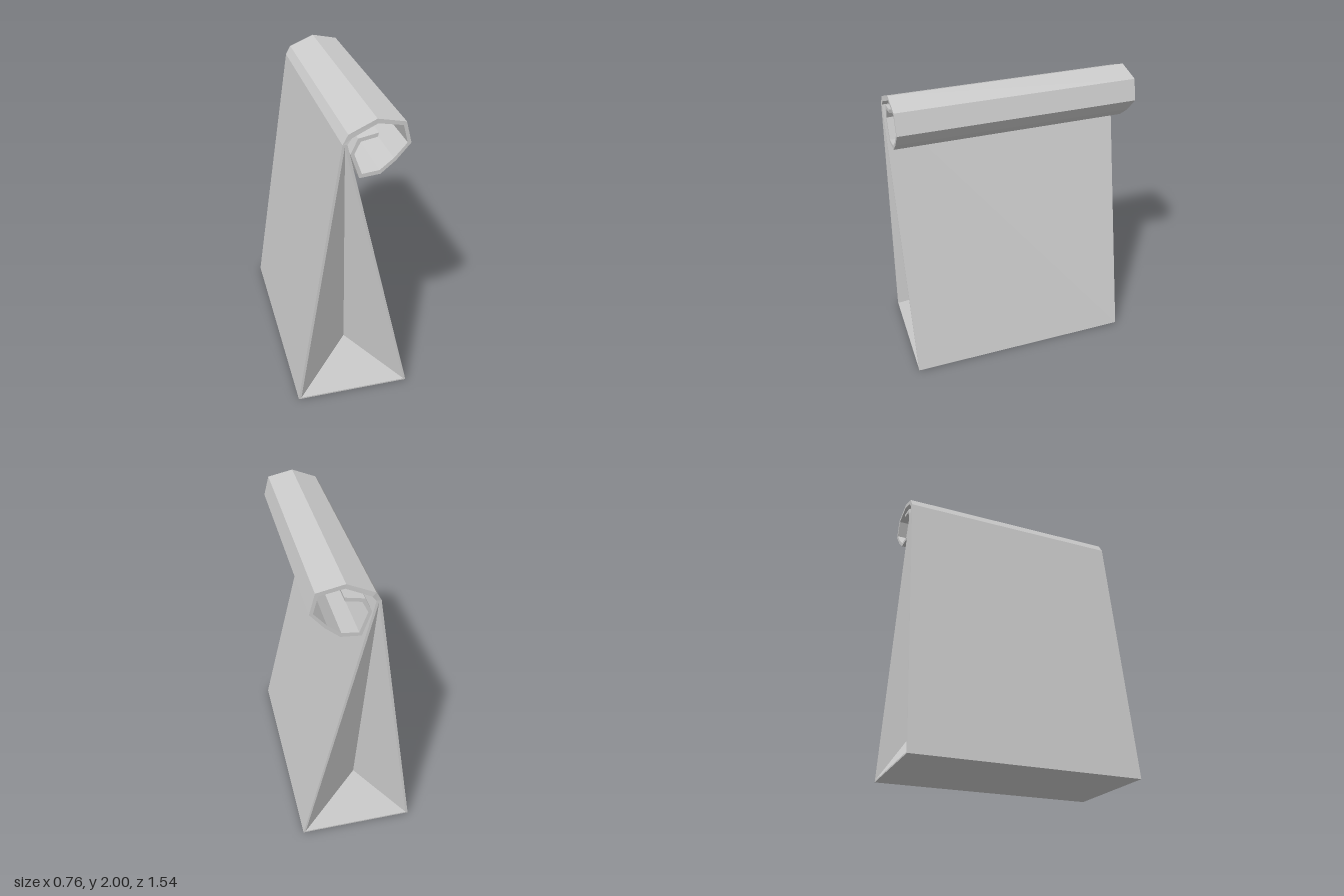
import * as THREE from 'three';

// Flat-shaded mesh from a list of polygons (corners counter-clockwise from outside)
function facetMesh(name, polygons) {
  const pos = [];
  for (const p of polygons)
    for (let i = 1; i < p.length - 1; i++) pos.push(...p[0], ...p[i], ...p[i + 1]);
  const geo = new THREE.BufferGeometry();
  geo.setAttribute('position', new THREE.Float32BufferAttribute(pos, 3));
  geo.computeVertexNormals();
  const mesh = new THREE.Mesh(geo, new THREE.MeshStandardMaterial({
    color: 0xcccccc, flatShading: true, side: THREE.DoubleSide }));
  mesh.name = name;
  return mesh;
}

const at = (p, z) => [p[0], p[1], z];

// Long wall swept along z between two neighbouring profile points
const wall = (a, b, za, zb) =>
  [at(a, za[0]), at(b, zb[0]), at(b, zb[1]), at(a, za[1])];

// Paper-edge strips between the outer and inner profile, at both ends
const rims = (o0, i0, i1, o1, z0, z1) => [
  [at(o0, z0[0]), at(i0, z0[0]), at(i1, z1[0]), at(o1, z1[0])],
  [at(o1, z1[1]), at(i1, z1[1]), at(i0, z0[1]), at(o0, z0[1])],
];

function createBody() {
  const outer = [[-0.38, 0], [-0.1, 1.87], [-0.072, 1.87], [0.38, 0]];
  const inner = [[-0.363, 0.01], [-0.086, 1.86], [-0.086, 1.86], [0.365, 0.01]];
  const ends = [0.77, -0.77];
  const polys = [];
  outer.forEach((p, i) => {
    const j = (i + 1) % outer.length;
    polys.push(wall(p, outer[j], ends, ends));
    polys.push(...rims(p, inner[i], inner[j], outer[j], ends, ends));
  });
  const body = new THREE.Group();
  body.name = 'bagBody';
  body.add(facetMesh('bagPanels', polys));

  // Tucked-in gussets: three facets meeting at a recessed point
  const [a, t, , b] = inner;
  for (const s of [1, -1]) {
    const v = [-0.02, 0.33, 0.58 * s];
    const facets = [[a, b], [b, t], [t, a]].map(([p, q]) => {
      const tri = [at(p, 0.77 * s), at(q, 0.77 * s), v];
      return s > 0 ? tri : tri.reverse();
    });
    body.add(facetMesh(s > 0 ? 'frontGusset' : 'backGusset', facets));
  }
  return body;
}

function createRoll() {
  // Rolled-over top, clockwise from the bag mouth to the loose end
  const outer = [[-0.1, 1.87], [-0.067, 1.928], [0.1, 2], [0.27, 1.965], [0.305, 1.833],
    [0.22, 1.733], [0.13, 1.657], [0.005, 1.645], [-0.05, 1.8], [-0.008, 1.893], [0.11, 1.916]];
  const inner = [[-0.072, 1.87], [-0.045, 1.905], [0.105, 1.972], [0.253, 1.945], [0.283, 1.836],
    [0.206, 1.748], [0.124, 1.682], [0.02, 1.67], [-0.028, 1.8], [0.008, 1.873], [0.106, 1.892]];
  // The sheet narrows a little after the first fold
  const ends = outer.map((_, i) =>
    i === 0 ? [0.77, -0.77] : i === 1 ? [0.766, -0.775] : [0.756, -0.766]);
  const polys = [];
  for (let i = 0; i < outer.length - 1; i++) {
    const j = i + 1;
    polys.push(wall(outer[i], outer[j], ends[i], ends[j]));
    polys.push(wall(inner[j], inner[i], ends[j], ends[i]));
    polys.push(...rims(outer[i], inner[i], inner[j], outer[j], ends[i], ends[j]));
  }
  // Close the loose end
  const n = outer.length - 1;
  polys.push(wall(outer[n], inner[n], ends[n], ends[n]));
  return facetMesh('rolledTop', polys);
}

export function createModel() {
  const bag = new THREE.Group();
  bag.name = 'paperBag';
  bag.add(createBody(), createRoll());
  return bag;
}
